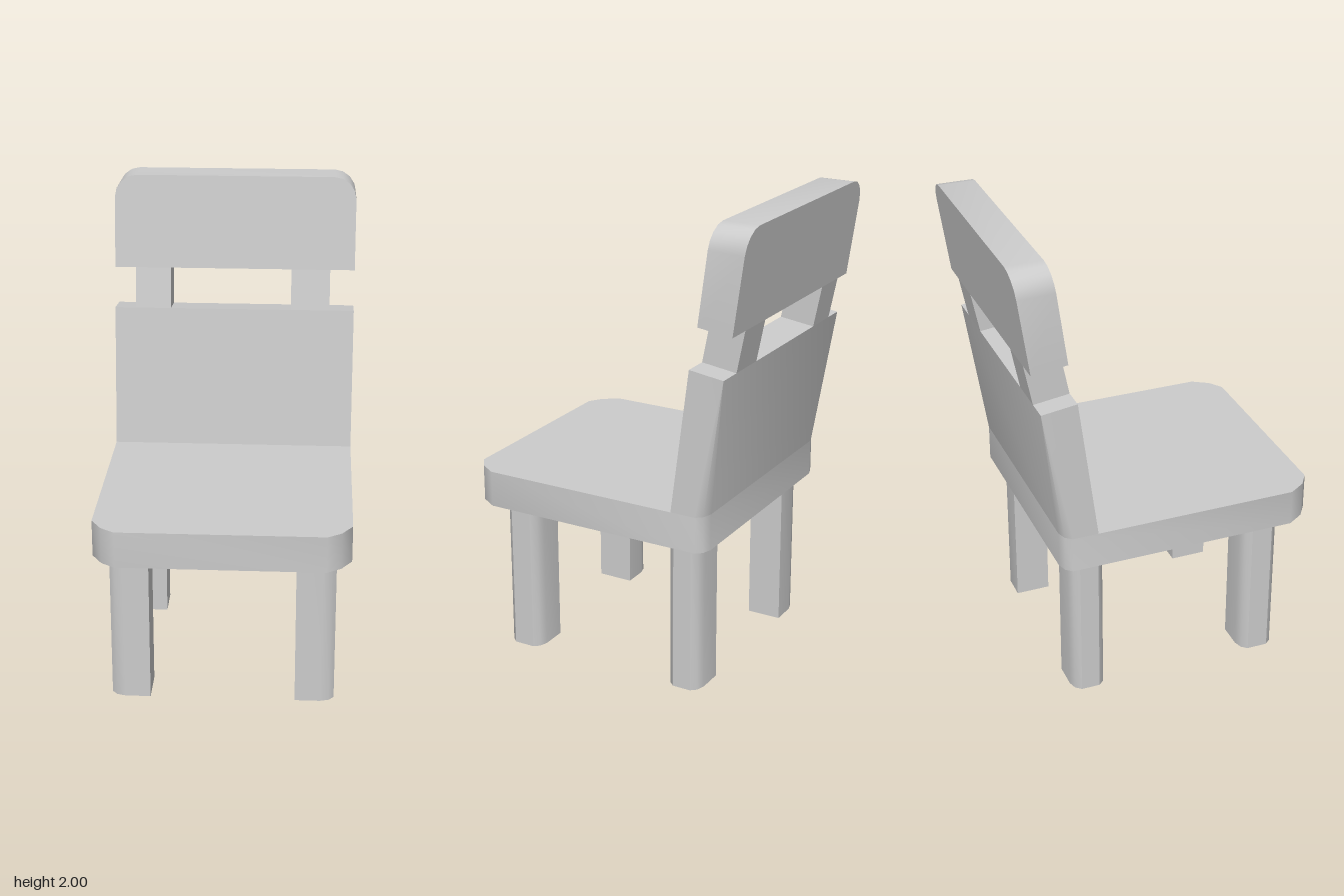
import * as THREE from 'three';
import { toCreasedNormals } from 'three/addons/utils/BufferGeometryUtils.js';

const HALF = 0.527; // half width of seat and back
const { lerp } = THREE.MathUtils;

const outline = (points) => new THREE.Shape(points.map(([x, y]) => new THREE.Vector2(x, y)));

// Plan outline given as [x, z], raised from y0 to y1
function slab(plan, y0, y1) {
  const shape = outline(plan.map(([x, z]) => [x, -z]));
  return new THREE.ExtrudeGeometry(shape, { depth: y1 - y0, bevelEnabled: false })
    .rotateX(-Math.PI / 2).translate(0, y0, 0);
}

// Move every vertex by a rule
function warp(geometry, rule) {
  const p = geometry.attributes.position;
  const v = new THREE.Vector3();
  for (let i = 0; i < p.count; i++) {
    rule(v.fromBufferAttribute(p, i));
    p.setXYZ(i, v.x, v.y, v.z);
  }
  geometry.computeVertexNormals();
  return geometry;
}

// Upright outline [x, v] with v in 0..1, leaned between [y, z] ends of front and back
function leaning(points, front, back) {
  const g = new THREE.ExtrudeGeometry(outline(points), { depth: 1, bevelEnabled: false });
  return warp(g, (v) => {
    const [a, b] = v.z > 0.5 ? front : back;
    const t = v.y;
    v.y = lerp(a[0], b[0], t);
    v.z = lerp(a[1], b[1], t);
  });
}

// Mirror a half outline (from +x side) into a closed one
const mirrored = (half) => [...half, ...half.map(([x, y]) => [-x, y]).reverse()];

export function createModel() {
  const group = new THREE.Group();
  const material = new THREE.MeshStandardMaterial({ color: 0xcccccc });
  const add = (name, geometry) => {
    const mesh = new THREE.Mesh(toCreasedNormals(geometry, 0.7), material);
    mesh.name = name;
    group.add(mesh);
  };

  // Seat with rounded corners
  const backCorner = [[0.465, -0.475], [0.505, -0.462], [HALF, -0.435]];
  add('seat', slab(mirrored([...backCorner, [HALF, 0.54], [0.483, 0.61], [0.425, 0.65]]), 0.66, 0.815));

  // Legs, rounded on their outer side
  for (const [end, z0, z1] of [['front', 0.36, 0.52], ['back', -0.42, -0.27]]) {
    for (const [side, s] of [['Left', 1], ['Right', -1]]) {
      const plan = [
        [0.303, z0], [0.41, z0], [0.446, z0 + 0.011], [0.467, z0 + 0.035],
        [0.467, z1 - 0.035], [0.446, z1 - 0.011], [0.41, z1], [0.303, z1],
      ].map(([x, z]) => [s * x, z]);
      add(`${end}${side}Leg`, slab(plan, 0, 0.66));
    }
  }

  // Lower back panel: rounded rear corners at the seat become square at the top
  const lower = slab(mirrored([...backCorner, [HALF, -0.325]]), 0.815, 1.425);
  add('lowerBackPanel', warp(lower, (v) => {
    if (v.y < 1) return;
    const rear = v.z < -0.33;
    v.set(Math.sign(v.x) * HALF, rear ? 1.405 : 1.425, rear ? -0.555 : -0.405);
  }));

  // Two short posts carrying the headrest
  for (const [name, x0, x1] of [['leftPost', 0.25, 0.42], ['rightPost', -0.435, -0.28]]) {
    add(name, leaning([[x0, 0], [x1, 0], [x1, 1], [x0, 1]],
      [[1.425, -0.405], [1.6, -0.44]], [[1.405, -0.555], [1.58, -0.59]]));
  }

  // Headrest with rounded upper corners
  const head = [[HALF, 0]];
  for (let i = 0; i <= 4; i++) {
    const a = (i / 4) * Math.PI / 2;
    head.push([HALF - 0.095 * (1 - Math.cos(a)), 1 - 0.24 * (1 - Math.sin(a))]);
  }
  add('headrest', leaning(mirrored(head),
    [[1.6, -0.44], [2, -0.495]], [[1.58, -0.59], [2, -0.65]]));

  return group;
}
